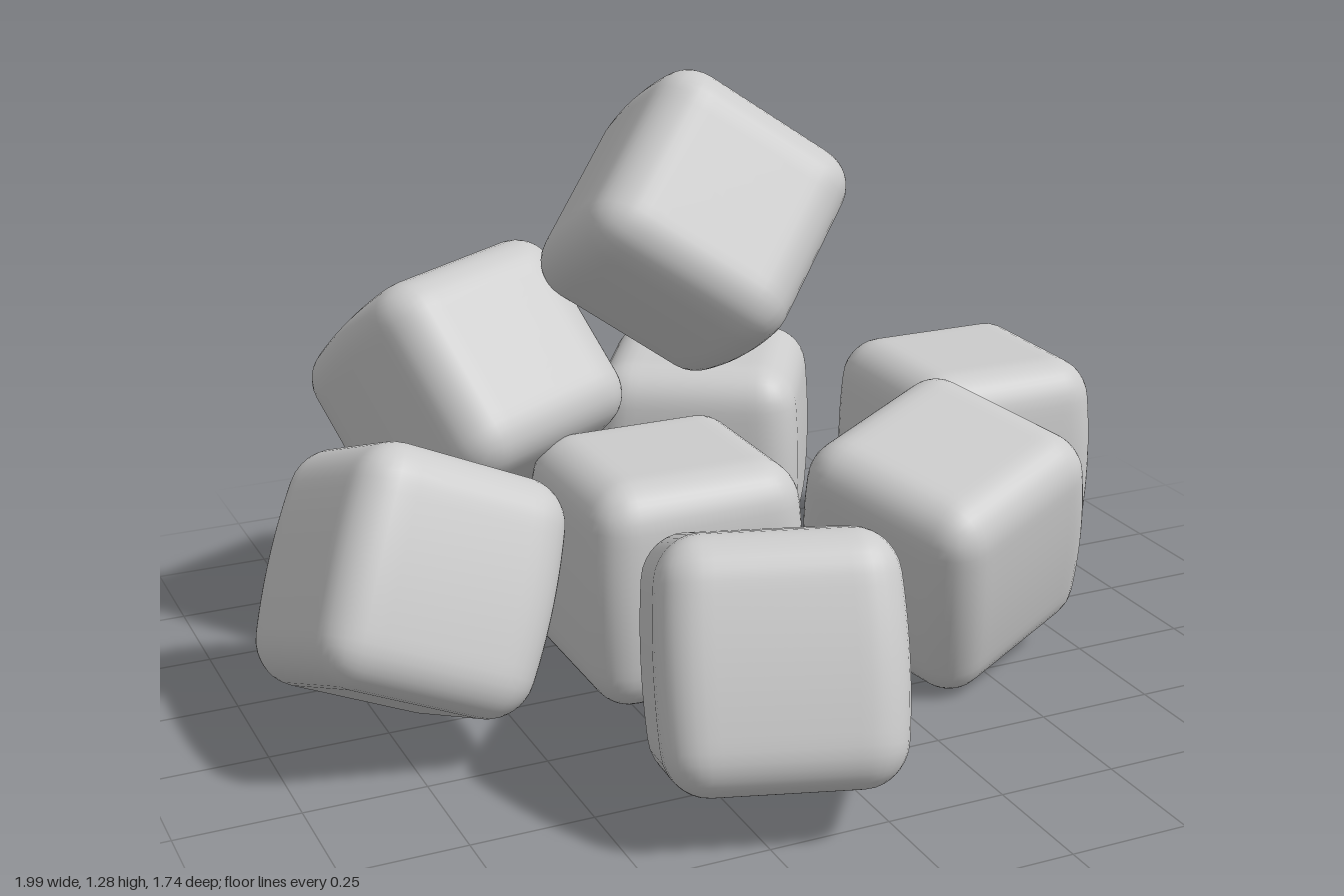
import * as THREE from 'three';
import { mergeVertices } from 'three/addons/utils/BufferGeometryUtils.js';

// Soft-edged cube, slightly narrower toward both ends of its y axis
function softCube(width, height, depth, radius, taper) {
  const geo = new THREE.BoxGeometry(width, height, depth, 22, 22, 22);
  geo.deleteAttribute('uv');
  geo.deleteAttribute('normal');
  const half = new THREE.Vector3(width / 2, height / 2, depth / 2);
  const inner = half.clone().subScalar(radius);
  const outer = inner.clone().negate();
  const pos = geo.attributes.position;
  const p = new THREE.Vector3();
  const core = new THREE.Vector3();
  for (let i = 0; i < pos.count; i++) {
    p.fromBufferAttribute(pos, i);
    core.copy(p).clamp(outer, inner);
    p.sub(core).setLength(radius).add(core);
    const k = 1 - taper * (p.y / half.y) ** 2;
    pos.setXYZ(i, p.x * k, p.y, p.z * k);
  }
  const merged = mergeVertices(geo, 1e-5);
  merged.computeVertexNormals();
  return merged;
}

export function createModel() {
  const group = new THREE.Group();
  group.name = 'cubePile';
  const material = new THREE.MeshStandardMaterial({ color: 0xcccccc });

  const upright = softCube(0.475, 0.485, 0.47, 0.085, 0.07);
  const lying = upright.clone().rotateX(Math.PI / 2);

  // name, geometry, centre, [pitch, yaw, roll] in degrees
  const cubes = [
    ['rightCube', upright, [0.755, 0.295, -0.29], [0, 0, 0]],
    ['backCube', upright, [0.215, 0.295, -0.575], [0, -31, 0]],
    ['middleCube', upright, [-0.145, 0.295, 0.025], [0, 0, 0]],
    ['frontCube', upright, [-0.16, 0.297, 0.565], [-22, -18, 0]],
    ['frontRightCube', upright, [0.45, 0.295, 0.15], [11, 23, 13]],
    ['leftCube', upright, [-0.7, 0.34, 0.03], [-20, 10, -26]],
    ['backLeftCube', lying, [-0.43, 0.585, -0.385], [-38, 18, 7]],
    ['topCube', lying, [0.01, 0.947, -0.175], [-28, 0, -39]],
  ];
  for (const [name, geometry, centre, turn] of cubes) {
    const mesh = new THREE.Mesh(geometry, material);
    mesh.name = name;
    mesh.position.set(...centre);
    mesh.rotation.set(...turn.map(THREE.MathUtils.degToRad), 'YXZ');
    group.add(mesh);
  }
  return group;
}
